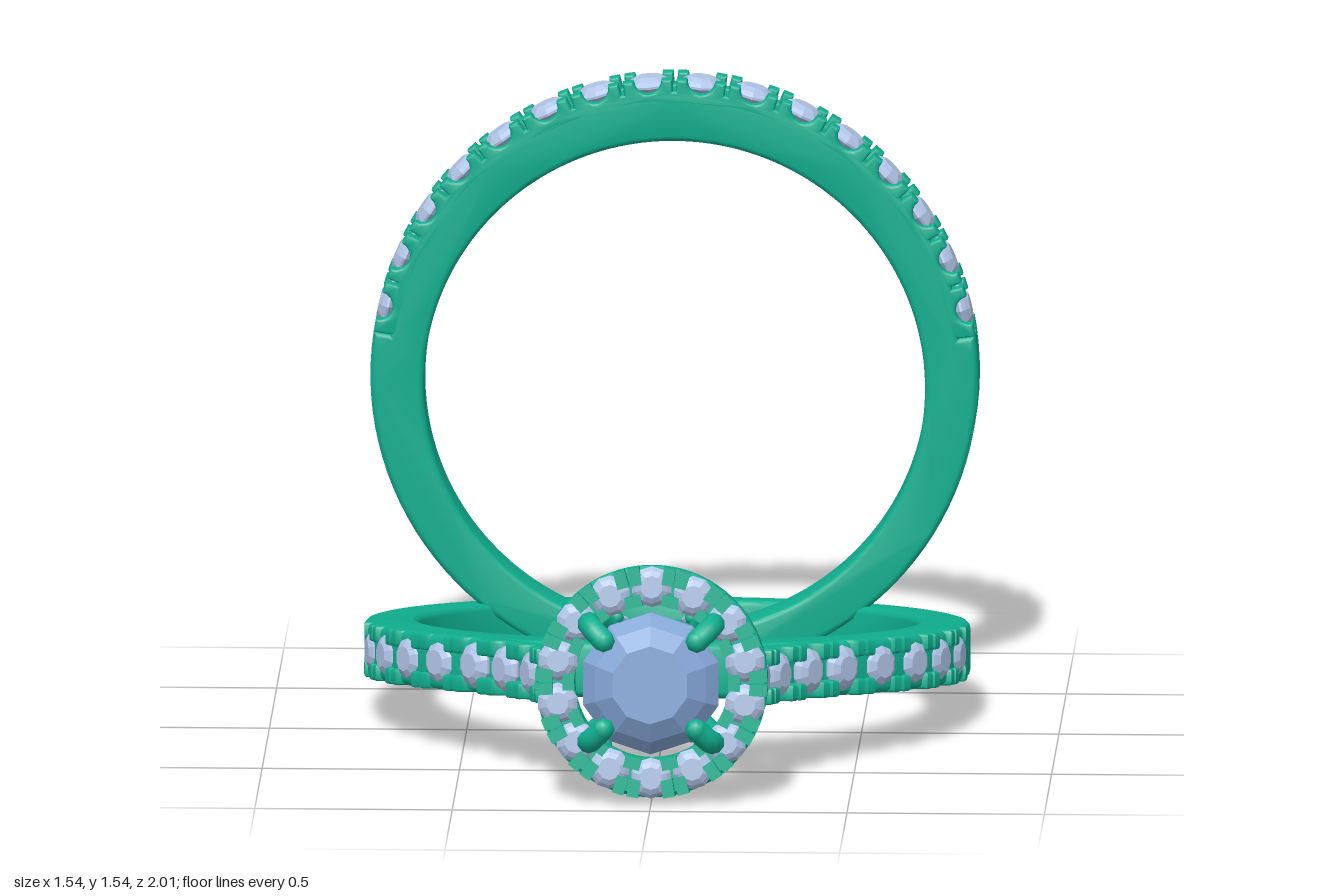
import * as THREE from 'three';
import { toCreasedNormals } from 'three/addons/utils/BufferGeometryUtils.js';

const V2 = (x, y) => new THREE.Vector2(x, y);
const V3 = (x, y, z) => new THREE.Vector3(x, y, z);
const UP = V3(0, 1, 0);
const WIDTH = 0.14;

const metal = new THREE.MeshStandardMaterial({ color: 0x10b090 });
const smallStone = new THREE.MeshStandardMaterial({ color: 0xb0c4e6, flatShading: true });
const bigStone = new THREE.MeshStandardMaterial({ color: 0x82a4d4, flatShading: true });

// Unit brilliant-cut gem: girdle radius 1 at y = 0, table facing +y
const gemGeo = new THREE.LatheGeometry(
  [V2(0, -0.9), V2(1, -0.05), V2(1, 0.05), V2(0.82, 0.23), V2(0.55, 0.4), V2(0, 0.4)], 10);
const beadGeo = new THREE.SphereGeometry(1, 8, 6);

function add(parent, name, geo, mat = metal) {
  const mesh = new THREE.Mesh(geo, mat);
  mesh.name = name;
  parent.add(mesh);
  return mesh;
}

function addGroup(parent, name) {
  const g = new THREE.Group();
  g.name = name;
  parent.add(g);
  return g;
}

function addGem(parent, pos, normal, r, name = 'smallStone', mat = smallStone) {
  const gem = add(parent, name, gemGeo, mat);
  gem.position.copy(pos);
  gem.quaternion.setFromUnitVectors(UP, normal.clone().normalize());
  gem.scale.setScalar(r);
  return gem;
}

// Bevelled plate centred on z = 0
function plate(shape, depth, bevel) {
  const geo = new THREE.ExtrudeGeometry(shape, {
    depth: depth - 2 * bevel, bevelThickness: bevel, bevelSize: bevel,
    bevelOffset: -bevel, bevelSegments: 3, curveSegments: 96,
  });
  geo.translate(0, 0, bevel - depth / 2);
  return toCreasedNormals(geo, 0.6);
}

// Point at arc length s along a curve, sunk d below its outer side
function sunk(curve, s, d) {
  const u = THREE.MathUtils.clamp(s / curve.getLength(), 0, 1);
  const t = curve.getTangentAt(u);
  return curve.getPointAt(u).add(V2(-t.y * d, t.x * d));
}

function sunkLine(curve, d, count = 40) {
  const L = curve.getLength();
  return Array.from({ length: count + 1 }, (_, i) => sunk(curve, (L * i) / count, d));
}

// Row of stones held between two scalloped, slit rails
function addPave(parent, curve, n) {
  const L = curve.getLength(), pitch = L / n, notch = 0.036;
  const pts = [sunk(curve, 0, 0)];
  for (let i = 0; i < n; i++) {
    const s = (i + 0.5) * pitch;
    for (let k = 0; k <= 8; k++) {
      const a = (Math.PI * k) / 8;
      pts.push(sunk(curve, s - notch * Math.cos(a), notch * Math.sin(a)));
    }
    const e = s + pitch / 2;
    if (i < n - 1)
      for (const [o, d] of [[-0.006, 0], [-0.004, 0.03], [0.004, 0.03], [0.006, 0]])
        pts.push(sunk(curve, e + o, d));
    const p = sunk(curve, s, 0.023), t = curve.getTangentAt(s / L);
    addGem(parent, V3(p.x, p.y, 0), V3(t.y, -t.x, 0), Math.min(0.058, pitch * 0.45));
  }
  pts.push(sunk(curve, L, 0), ...sunkLine(curve, 0.065).reverse());
  const railGeo = plate(new THREE.Shape(pts), 0.042, 0.007);
  for (const side of [-1, 1])
    add(parent, 'stoneRail', railGeo).position.z = side * (WIDTH / 2 - 0.021);
}

function circleHole(x, y, r) {
  return new THREE.Path().absarc(x, y, r, 0, Math.PI * 2, true);
}

// Upright band, stones over its upper half
function buildWeddingBand(root) {
  const band = addGroup(root, 'uprightBand');
  band.position.set(0, 0.775, -0.76);
  const R = 0.77, half = THREE.MathUtils.degToRad(81.6), mid = Math.PI / 2;
  const top = new THREE.EllipseCurve(0, 0, R, R, mid - half, mid + half);
  const bottom = new THREE.EllipseCurve(0, 0, R, R, mid + half, mid - half + Math.PI * 2);
  top.arcLengthDivisions = 400;
  const shape = new THREE.Shape([...sunkLine(top, 0.04, 64), ...bottom.getPoints(64)]);
  shape.holes.push(circleHole(0, -0.025, 0.635));
  add(band, 'bandCore', plate(shape, WIDTH, 0.014));
  addPave(band, top, 16);
}

// Lying shank with two stone-set shoulders sweeping to the head
function buildShank(ring) {
  const shank = addGroup(ring, 'shank');
  shank.rotation.x = Math.PI / 2;
  const hoop = new THREE.Shape().absarc(0, -0.23, 0.767, 0, Math.PI * 2, false);
  hoop.holes.push(circleHole(0, -0.257, 0.632));
  add(shank, 'hoop', plate(hoop, WIDTH, 0.018));

  const outer = new THREE.SplineCurve([
    V2(0.764, -0.115), V2(0.754, -0.04), V2(0.718, 0.075), V2(0.665, 0.18), V2(0.58, 0.29),
    V2(0.485, 0.395), V2(0.405, 0.5), V2(0.335, 0.61), V2(0.295, 0.72), V2(0.285, 0.81)]);
  const inner = new THREE.SplineCurve([
    V2(0.2, 0.81), V2(0.205, 0.7), V2(0.25, 0.58), V2(0.34, 0.46), V2(0.45, 0.33),
    V2(0.61, 0.06), V2(0.68, -0.115)]);
  const core = plate(new THREE.Shape([...sunkLine(outer, 0.04), ...inner.getPoints(30)]), WIDTH - 0.002, 0.012);
  for (const [name, turn] of [['leftShoulder', 0], ['rightShoulder', Math.PI]]) {
    const shoulder = addGroup(shank, name);
    shoulder.rotation.y = turn;
    add(shoulder, 'shoulderCore', core);
    addPave(shoulder, outer, 8);
  }
}

// Halo head; its own +y points out of the front of the ring
function buildHead(ring) {
  const head = addGroup(ring, 'head');
  head.rotation.x = Math.PI / 2;
  const profile = [[0.195, 0.865], [0.195, 0.81], [0.205, 0.8], [0.265, 0.8], [0.285, 0.808],
    [0.294, 0.825], [0.294, 0.855], [0.285, 0.865], [0.195, 0.865]].map(([x, y]) => V2(x, y));
  add(head, 'haloRing', toCreasedNormals(new THREE.LatheGeometry(profile, 84), 0.7));

  // Halo stones with split claws on the outer rim and pads on the inner one
  const n = 14, outerClaw = new THREE.BoxGeometry(0.045, 0.055, 0.03);
  const innerPad = new THREE.BoxGeometry(0.03, 0.05, 0.042);
  const place = (mesh, r, a, y) => {
    mesh.position.set(r * Math.sin(a), y, r * Math.cos(a));
    mesh.rotation.y = a - Math.PI / 2;
  };
  for (let i = 0; i < n; i++) {
    const a = (i / n) * Math.PI * 2, between = a + Math.PI / n;
    addGem(head, V3(0.243 * Math.sin(a), 0.882, 0.243 * Math.cos(a)), UP, 0.052);
    for (const s of [-1, 1])
      place(add(head, 'haloClaw', outerClaw), 0.272, between + s * 0.065, 0.876);
    place(add(head, 'haloPad', innerPad), 0.21, between, 0.874);
  }

  addGem(head, V3(0, 0.912, 0), UP, 0.18, 'centreStone', bigStone);

  // Four prongs rising from the shank, stone-set behind the halo
  for (const sx of [-1, 1]) for (const sz of [-1, 1]) {
    const at = (x, y, z) => V3(sx * x, y, sz * z);
    const arm = new THREE.CatmullRomCurve3([
      at(0.015, 0.55, 0.05), at(0.075, 0.63, 0.095), at(0.13, 0.72, 0.13), at(0.155, 0.82, 0.148)]);
    const claw = new THREE.CatmullRomCurve3([
      at(0.15, 0.78, 0.142), at(0.158, 0.9, 0.15), at(0.15, 0.955, 0.143), at(0.118, 0.982, 0.112)]);
    add(head, 'prongArm', new THREE.TubeGeometry(arm, 20, 0.034, 10));
    add(head, 'prong', new THREE.TubeGeometry(claw, 20, 0.029, 10));
    const tip = add(head, 'prongTip', beadGeo);
    tip.position.copy(claw.getPoint(1));
    tip.scale.setScalar(0.029);

    for (let i = 0; i < 7; i++) {
      const u = 0.12 + i * 0.115, p = arm.getPointAt(u), t = arm.getTangentAt(u);
      const out = V3(sx * 0.25, -0.2, sz);
      out.addScaledVector(t, -out.dot(t)).normalize();
      const across = V3().crossVectors(t, out);
      if (i % 2) {
        addGem(head, p.clone().addScaledVector(out, 0.028), out, 0.035);
        continue;
      }
      for (const s of [-1, 1]) {
        const bead = add(head, 'armBead', beadGeo);
        bead.position.copy(p).addScaledVector(out, 0.022).addScaledVector(across, s * 0.028);
        bead.scale.setScalar(0.018);
      }
    }
  }
}

export function createModel() {
  const root = new THREE.Group();
  root.name = 'ringPair';
  buildWeddingBand(root);
  const ring = addGroup(root, 'haloRingTilted');
  ring.position.y = 0.203;
  ring.rotation.x = -0.125;
  buildShank(ring);
  buildHead(ring);
  return root;
}
